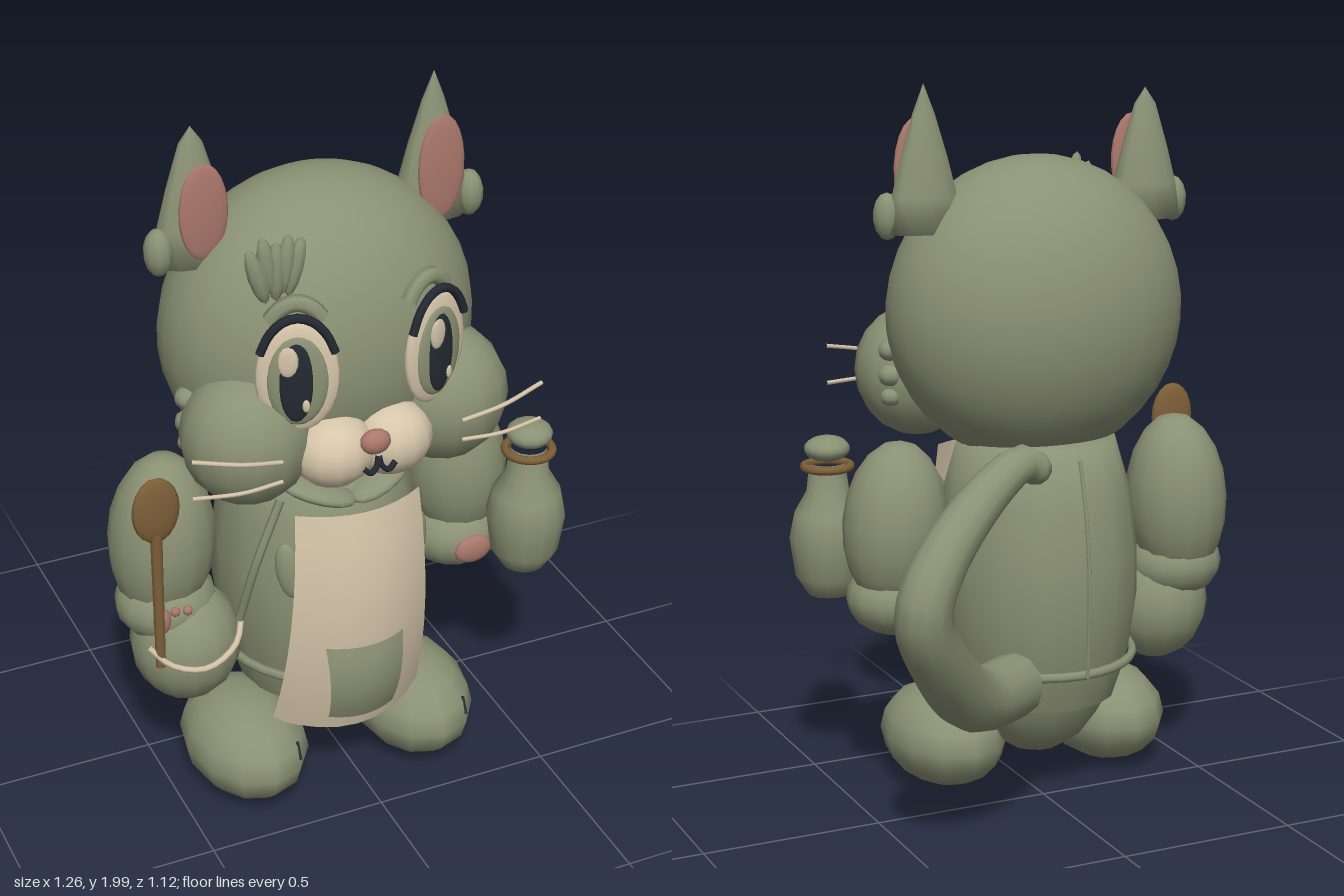
import * as THREE from 'three';

const mat = (name, color) => Object.assign(new THREE.MeshStandardMaterial({ color }), { name });

export function createModel() {
  const green = mat('sage green', 0x8b9174);
  const cream = mat('cream', 0xd6c6aa);
  const pink = mat('dusty pink', 0xaa786c);
  const brown = mat('wood brown', 0x7d5f38);
  const dark = mat('ink', 0x242a33);
  const greenOpen = mat('sage cloth', 0x8b9174);
  const creamOpen = mat('cream cloth', 0xd6c6aa);
  greenOpen.side = creamOpen.side = THREE.DoubleSide;

  const model = new THREE.Group();
  const V = (p) => new THREE.Vector3(...p);
  const add = (name, geo, m, pos = [0, 0, 0], rot = [0, 0, 0], parent = model) => {
    const mesh = new THREE.Mesh(geo, m);
    mesh.name = name;
    mesh.position.set(...pos);
    mesh.rotation.set(...rot);
    parent.add(mesh);
    return mesh;
  };
  const ball = (name, m, pos, r, rot, parent, seg = 14) =>
    add(name, new THREE.SphereGeometry(1, seg, Math.ceil(seg * 0.65)).scale(...r), m, pos, rot, parent);
  const tube = (name, m, pts, r, parent, seg = 14) =>
    add(name, new THREE.TubeGeometry(new THREE.CatmullRomCurve3(pts.map(V)), seg, r, 6), m, [0, 0, 0], [0, 0, 0], parent);
  const lathe = (pts, seg) => new THREE.LatheGeometry(pts.map((p) => new THREE.Vector2(...p)), seg);

  // Head and cheeks
  const CX = -0.045;
  ball('head', green, [CX, 1.37, 0.15], [0.425, 0.425, 0.325], undefined, model, 28);
  for (const s of [-1, 1]) {
    const cheekX = CX + s * 0.275;
    ball('cheek', green, [cheekX, 1.19, 0.34], [0.175, 0.185, 0.17]);
    [[1.27, 0.035], [1.2, 0.036], [1.14, 0.03]].forEach(([y, r]) =>
      ball('cheekFur', green, [cheekX + s * 0.12, y, 0.238], [r, r * 0.85, r], undefined, model, 8));
    ball('muzzle', cream, [CX + s * 0.08, 1.155, 0.44], [0.112, 0.1, 0.1]);
    // Whiskers
    [[1.195, 1.245], [1.138, 1.138]].forEach(([y0, y1]) =>
      tube('whisker', cream, [[CX + s * 0.25, y0, 0.51], [CX + s * 0.36, (y0 + y1) / 2, 0.52],
        [CX + s * 0.485, y1, 0.495]], 0.006));
    // Mouth
    tube('mouth', dark, [[CX, 1.17, 0.54], [CX + s * 0.008, 1.14, 0.545], [CX + s * 0.025, 1.128, 0.548],
      [CX + s * 0.045, 1.145, 0.545]], 0.008);
  }
  ball('nose', pink, [CX, 1.2, 0.52], [0.042, 0.034, 0.028]);

  // Eyes, each built facing forward and then turned outward
  for (const s of [-1, 1]) {
    const eye = new THREE.Group();
    eye.name = 'eye';
    eye.position.set(CX + s * 0.188, 1.4, 0.462);
    eye.rotation.y = s * 0.36;
    model.add(eye);
    ball('eyeRim', cream, [0, 0, 0], [0.106, 0.155, 0.022], undefined, eye, 20);
    ball('iris', green, [0, -0.005, 0.012], [0.078, 0.125, 0.018], undefined, eye, 20);
    ball('pupil', dark, [-0.004, -0.005, 0.024], [0.044, 0.11, 0.012], undefined, eye, 16);
    ball('highlight', cream, [-0.025, 0.06, 0.034], [0.027, 0.042, 0.006], undefined, eye, 10);
    ball('glint', cream, [0.02, -0.065, 0.034], [0.01, 0.018, 0.005], undefined, eye, 8);
    const arc = (rx, ry, z, a0, a1) => Array.from({ length: 7 }, (_, i) => {
      const a = a0 + (a1 - a0) * i / 6;
      return [rx * Math.cos(a), ry * Math.sin(a), z];
    });
    tube('lashLine', dark, arc(0.103, 0.17, 0.012, 0.45, 2.7), 0.012, eye);
    tube('eyelid', green, arc(0.1, 0.19, -0.03, 0.9, 2.3), 0.022, eye);
  }

  // Forehead tuft
  [[-0.31, 1.66, 0.3], [-0.285, 1.685, 0.15], [-0.26, 1.665, 0], [-0.235, 1.68, -0.12], [-0.21, 1.67, -0.25]]
    .forEach(([x, y, tilt]) => ball('tuft', green, [x, y, 0.395], [0.024, 0.08, 0.02], [0, 0, tilt], model, 8));

  // Ears
  [[-0.375, 1.965, -1, 0.13], [0.287, 2.0, 1, 0.145]].forEach(([x, top, s, ry]) => {
    const ear = lathe([[0, 0], [0.108, 0.005], [0.095, 0.1], [0.069, 0.2], [0.032, 0.32], [0, top - 1.6]], 12);
    add('ear', ear.scale(1, 1, 0.62), green, [x, 1.6, 0.135]);
    ball('innerEar', pink, [x - s * 0.005, 1.76, 0.2], [0.066, ry, 0.014], undefined, model, 16);
    ball('earTuft', green, [x + s * 0.1, 1.65, 0.155], [0.038, 0.064, 0.042], undefined, model, 10);
  });

  // Body with a barrel shaped coat
  ball('belly', green, [-0.035, 0.43, 0.13], [0.235, 0.33, 0.24]);
  const coat = lathe([[0.78, 0.28], [0.92, 0.4], [1, 0.56], [1, 0.7], [0.93, 0.86], [0.77, 1.02], [0, 1.03]], 16);
  add('coat', coat.scale(0.28, 1, 0.3), greenOpen, [-0.04, 0, 0.13]);
  add('belt', new THREE.TorusGeometry(1, 0.045, 6, 32).rotateX(Math.PI / 2).scale(0.268, 0.3, 0.288), green, [-0.04, 0.4, 0.13]);
  tube('backSeam', green, [[CX, 1.0, -0.135], [CX, 0.85, -0.175], [CX, 0.65, -0.195], [CX, 0.4, -0.185]], 0.006);
  tube('sideStrap', green, [[-0.225, 0.96, 0.33], [-0.295, 0.78, 0.33], [-0.325, 0.58, 0.28]], 0.012);
  for (const s of [-1, 1]) {
    ball('collar', green, [CX + s * 0.09, 0.985, 0.36], [0.11, 0.026, 0.06], [0, s * 0.4, s * 0.3]);
    ball('lapel', green, [CX + s * 0.185, 0.78, 0.395], [0.035, 0.085, 0.02], [0, s * 0.5, -s * 0.15]);
  }

  // Curved cloth panel: width tapers with height, sides wrap backward
  const panel = (y0, y1, w0, w1, bend, zAt) => {
    const g = new THREE.PlaneGeometry(2, 1, 8, 8);
    const p = g.attributes.position;
    for (let i = 0; i < p.count; i++) {
      const t = p.getY(i) + 0.5;
      const x = p.getX(i) * (w0 + (w1 - w0) * t);
      p.setXYZ(i, x, y0 + (y1 - y0) * t + (1 - t) * 0.5 * x * x, zAt(t) - bend * x * x);
    }
    g.computeVertexNormals();
    return g;
  };
  add('apron', panel(0.235, 0.95, 0.217, 0.178, 1.8, (t) => 0.41 + 0.2 * t * (1 - t) + 0.04 * t), creamOpen, [-0.037, 0, 0.008]);
  add('pocket', panel(0.305, 0.555, 0.095, 0.113, 2.5, (t) => 0.465 + 0.1 * t * (1 - t) + 0.03 * t), greenOpen, [-0.043, 0, 0.005]);

  // Feet with toe marks
  [-0.3, 0.205].forEach((x) => {
    ball('foot', green, [x, 0.15, 0.235], [0.168, 0.143, 0.235], undefined, model, 12);
    add('toeMark', new THREE.BoxGeometry(0.008, 0.05, 0.012), dark, [x + 0.09, 0.19, 0.41], [-0.5, 0, 0]);
  });

  // Arms
  ball('rightUpperArm', green, [-0.48, 0.79, 0.12], [0.146, 0.25, 0.145], [0, 0, -0.05]);
  ball('rightForearm', green, [-0.48, 0.6, 0.135], [0.14, 0.105, 0.135]);
  ball('rightHand', green, [-0.44, 0.48, 0.17], [0.152, 0.172, 0.155]);
  ball('leftUpperArm', green, [0.39, 0.81, 0.12], [0.145, 0.235, 0.143], [0, 0, 0.08]);
  ball('leftForearm', green, [0.385, 0.605, 0.13], [0.14, 0.105, 0.138]);
  ball('leftPawPad', pink, [0.385, 0.6, 0.26], [0.056, 0.042, 0.018]);
  ball('rightPawPad', pink, [-0.535, 0.615, 0.255], [0.025, 0.04, 0.018]);
  [[-0.5, 0.64], [-0.465, 0.635]].forEach(([x, y]) =>
    ball('rightToePad', pink, [x, y, 0.262], [0.014, 0.014, 0.012], undefined, model, 8));

  // Spoon and wrist cord
  ball('spoonBowl', brown, [-0.555, 0.99, 0.29], [0.066, 0.097, 0.02]);
  add('spoonHandle', new THREE.CylinderGeometry(0.017, 0.014, 0.42, 8), brown, [-0.556, 0.71, 0.29]);
  tube('wristCord', cream, [[-0.585, 0.56, 0.28], [-0.53, 0.505, 0.312], [-0.44, 0.485, 0.332],
    [-0.345, 0.515, 0.3], [-0.29, 0.565, 0.21]], 0.009);

  // Bottle
  const bottle = lathe([[0, 0.57], [0.06, 0.575], [0.095, 0.63], [0.11, 0.74], [0.095, 0.81], [0.06, 0.87],
    [0.05, 0.95]], 14);
  add('bottle', bottle, green, [0.503, 0, 0.335]);
  add('bottleRing', new THREE.TorusGeometry(0.064, 0.012, 8, 24).rotateX(Math.PI / 2), brown, [0.503, 0.94, 0.335]);
  ball('stopper', green, [0.503, 0.99, 0.335], [0.064, 0.036, 0.064]);

  // Tapered tail
  const tailPath = new THREE.CatmullRomCurve3([[0.16, 0.4, -0.15], [0.34, 0.43, -0.29], [0.5, 0.6, -0.43],
    [0.565, 0.75, -0.49], [0.5, 0.88, -0.465], [0.32, 1.03, -0.385], [0.22, 1.07, -0.345], [0.185, 1.05, -0.335]].map(V));
  const tail = new THREE.TubeGeometry(tailPath, 28, 1, 12);
  const tp = tail.attributes.position;
  for (let i = 0; i < tp.count; i++) {
    const t = Math.floor(i / 13) / 28;
    const c = tailPath.getPointAt(t);
    const v = new THREE.Vector3().fromBufferAttribute(tp, i).sub(c).multiplyScalar(0.088 - 0.043 * t * t).add(c);
    tp.setXYZ(i, v.x, v.y, v.z);
  }
  add('tail', tail, greenOpen);
  ball('tailTip', green, [0.185, 1.05, -0.335], [0.045, 0.045, 0.045], undefined, model, 10);

  return model;
}
